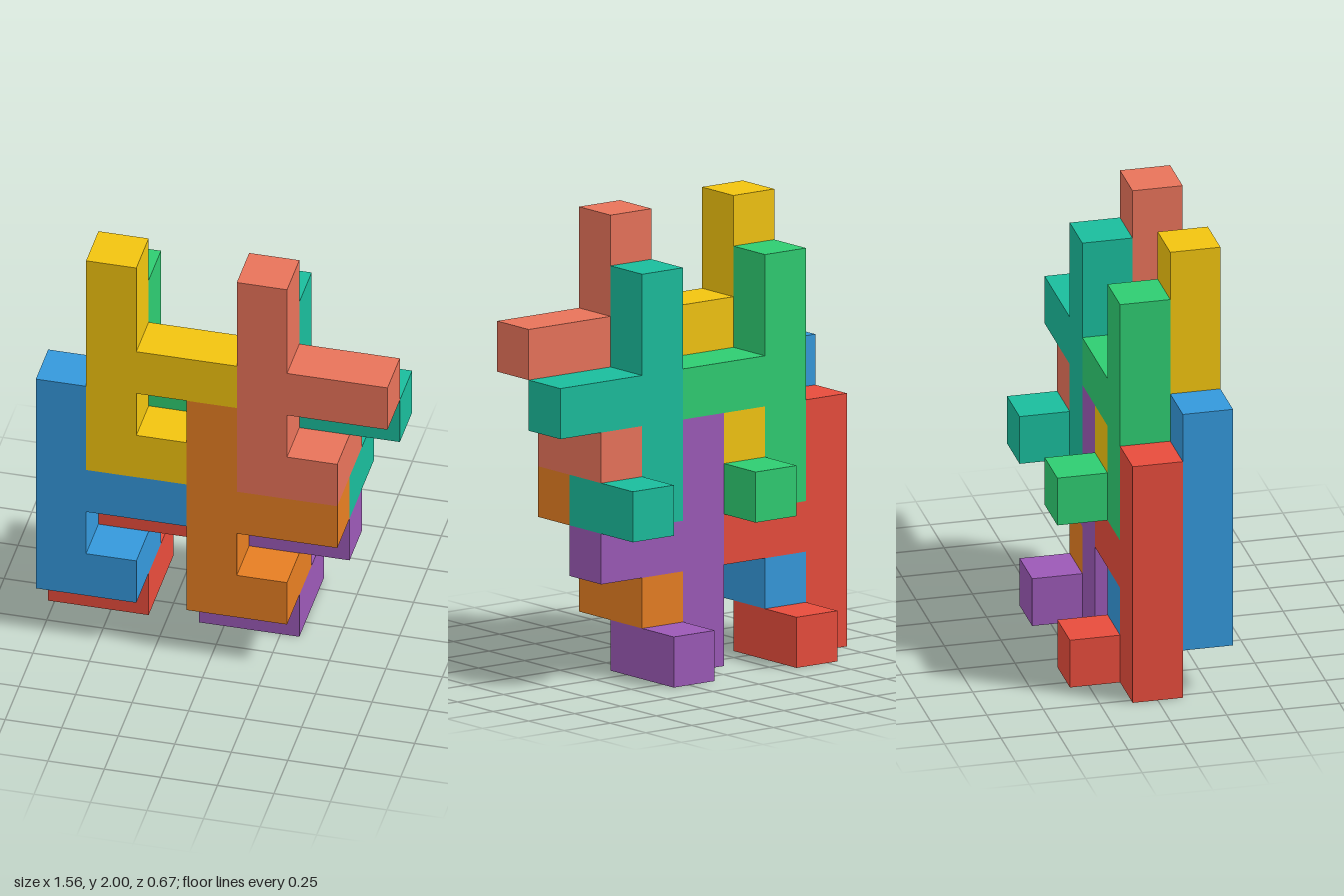
import * as THREE from 'three';

const U = 2 / 9; // edge of one cube cell

// Outline of a piece in cells: five-high post, long arm at mid height, short foot at the bottom
const OUTLINE = [[0, 0], [2, 0], [2, 1], [1, 1], [1, 2], [3, 2], [3, 3], [1, 3], [1, 5], [0, 5]];

// One interlocking piece; col, row and layer give its lower left front cell
function createPiece(name, color, col, row, layer) {
  const material = new THREE.MeshStandardMaterial({ color, flatShading: true });
  const piece = new THREE.Group();
  piece.name = name;

  const shape = new THREE.Shape(OUTLINE.map(([x, y]) => new THREE.Vector2(x * U, y * U)));
  const body = new THREE.Mesh(
    new THREE.ExtrudeGeometry(shape, { depth: U, bevelEnabled: false }), material);
  body.name = name + 'Body';

  // Cube reaching back from the end of the foot
  const knob = new THREE.Mesh(new THREE.BoxGeometry(U, U, U), material);
  knob.name = name + 'Knob';
  knob.position.set(1.5 * U, 0.5 * U, -0.5 * U);

  piece.add(body, knob);
  piece.position.set((col - 3.5) * U, row * U, (0.5 - layer) * U);
  return piece;
}

export function createModel() {
  const model = new THREE.Group();
  model.name = 'interlockingPieces';
  const pieces = [
    // front layer
    ['bluePiece', 0x3498db, 0, 1, 0],
    ['yellowPiece', 0xf1c40f, 1, 4, 0],
    ['orangePiece', 0xe67e22, 3, 1, 0],
    ['salmonPiece', 0xe8735a, 4, 4, 0],
    // rear layer
    ['redPiece', 0xe74c3c, 0, 0, 1],
    ['greenPiece', 0x2ecc71, 1, 3, 1],
    ['purplePiece', 0x9b59b6, 3, 0, 1],
    ['tealPiece', 0x1abc9c, 4, 3, 1],
  ];
  for (const p of pieces) model.add(createPiece(...p));
  return model;
}
